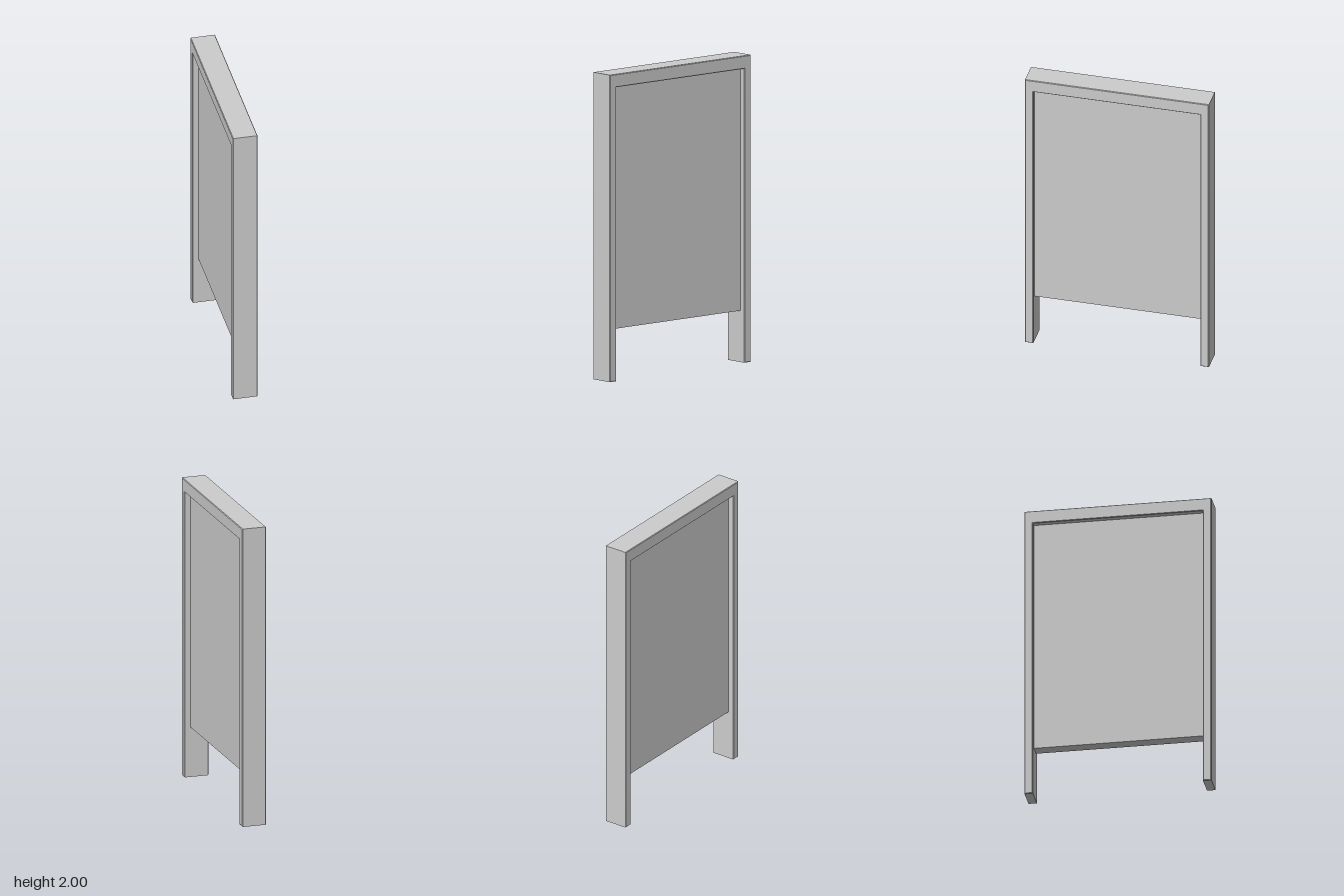
import * as THREE from 'three';

export function createModel() {
  const model = new THREE.Group();
  const material = new THREE.MeshStandardMaterial({ color: 0xcccccc, flatShading: true });
  const add = (name, geometry) => {
    const mesh = new THREE.Mesh(geometry, material);
    mesh.name = name;
    model.add(mesh);
    return mesh;
  };

  const depth = 0.163, halfWidth = 0.61, height = 2, bevel = 0.004;
  const innerHalf = 0.555, innerTop = 1.915;

  // Frame: two legs and a top rail in one piece, with finely chamfered edges
  const outline = new THREE.Shape([
    [-halfWidth, 0], [-innerHalf, 0], [-innerHalf, innerTop], [innerHalf, innerTop],
    [innerHalf, 0], [halfWidth, 0], [halfWidth, height], [-halfWidth, height],
  ].map(([x, y]) => new THREE.Vector2(x, y)));
  const frame = new THREE.ExtrudeGeometry(outline, {
    depth: depth - 2 * bevel,
    bevelThickness: bevel,
    bevelSize: bevel,
    bevelOffset: -bevel,
    bevelSegments: 1,
  });
  frame.translate(0, 0, bevel - depth / 2).rotateY(Math.PI / 2);
  add('frame', frame);

  // Panel: recessed on both faces, ending above the feet
  const panelBottom = 0.335, panelTop = innerTop + 0.002;
  const panel = add('panel', new THREE.BoxGeometry(0.083, panelTop - panelBottom, 2 * innerHalf + 0.004));
  panel.position.y = (panelTop + panelBottom) / 2;

  return model;
}
